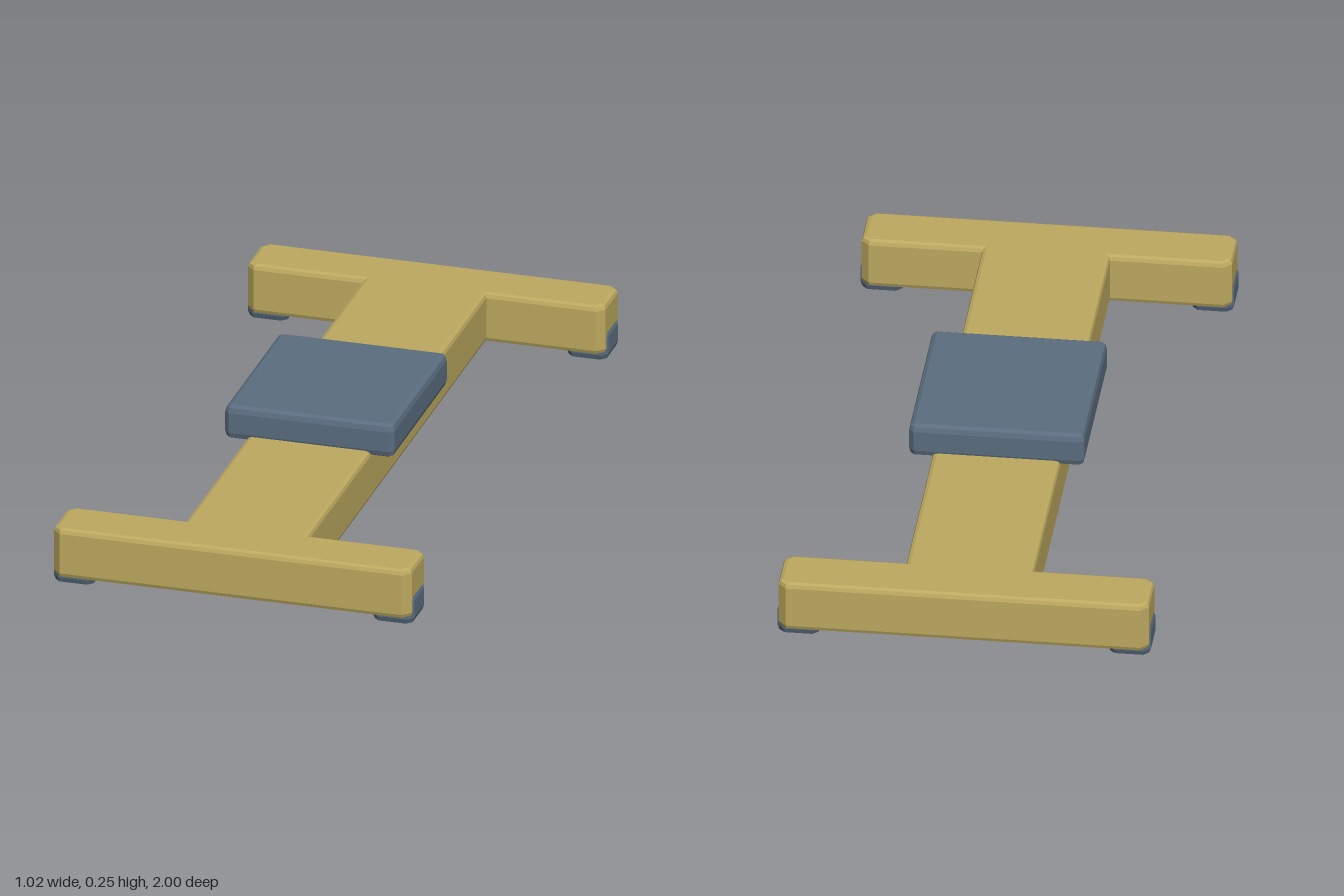
import * as THREE from 'three';

// Solid with a plan outline in (x, z), running from y0 to y1 with bevelled top and bottom edges
function bevelledSlab(points, y0, y1, bevelSize, bevelThickness) {
  const shape = new THREE.Shape(points.map(([x, z]) => new THREE.Vector2(x, -z)));
  const geometry = new THREE.ExtrudeGeometry(shape, {
    depth: y1 - y0 - 2 * bevelThickness,
    bevelEnabled: true, bevelSegments: 2, bevelSize, bevelThickness, bevelOffset: -bevelSize,
  });
  geometry.rotateX(-Math.PI / 2);
  geometry.translate(0, y0 + bevelThickness, 0);
  return geometry;
}

// Rectangle outline with cut corners
function cutRectangle(w, d, c) {
  const x = w / 2, z = d / 2;
  return [[-x + c, z], [x - c, z], [x, z - c], [x, -z + c],
    [x - c, -z], [-x + c, -z], [-x, -z + c], [-x, z - c]];
}

export function createModel() {
  const model = new THREE.Group();
  const gold = new THREE.MeshStandardMaterial({ color: 0xbda95f });
  gold.name = 'gold';
  const slate = new THREE.MeshStandardMaterial({ color: 0x5b6d7f });
  slate.name = 'slate';

  const add = (name, geometry, material, x = 0, z = 0) => {
    const mesh = new THREE.Mesh(geometry, material);
    mesh.name = name;
    mesh.position.set(x, 0, z);
    model.add(mesh);
  };

  // I-shaped frame: central beam and two crossbars in one piece
  const quarter = [[0.175, 0.838], [0.485, 0.838], [0.507, 0.86], [0.507, 0.975], [0.485, 0.998]];
  const outline = [
    ...quarter,
    ...quarter.map(([x, z]) => [-x, z]).reverse(),
    ...quarter.map(([x, z]) => [-x, -z]),
    ...quarter.map(([x, z]) => [x, -z]).reverse(),
  ];
  add('frame', bevelledSlab(outline, 0.025, 0.17, 0.013, 0.014), gold);

  // Raised pad in the middle of the beam
  add('pad', bevelledSlab(cutRectangle(0.48, 0.52, 0.013), 0.155, 0.253, 0.015, 0.02), slate);

  // Feet wrapped under the crossbar ends
  const foot = bevelledSlab(cutRectangle(0.118, 0.13, 0.018), 0, 0.09, 0.018, 0.02);
  for (const x of [-1, 1]) {
    for (const z of [-1, 1]) {
      add(`${z > 0 ? 'front' : 'back'}${x > 0 ? 'Left' : 'Right'}Foot`, foot, slate, x * 0.452, z * 0.918);
    }
  }
  return model;
}
